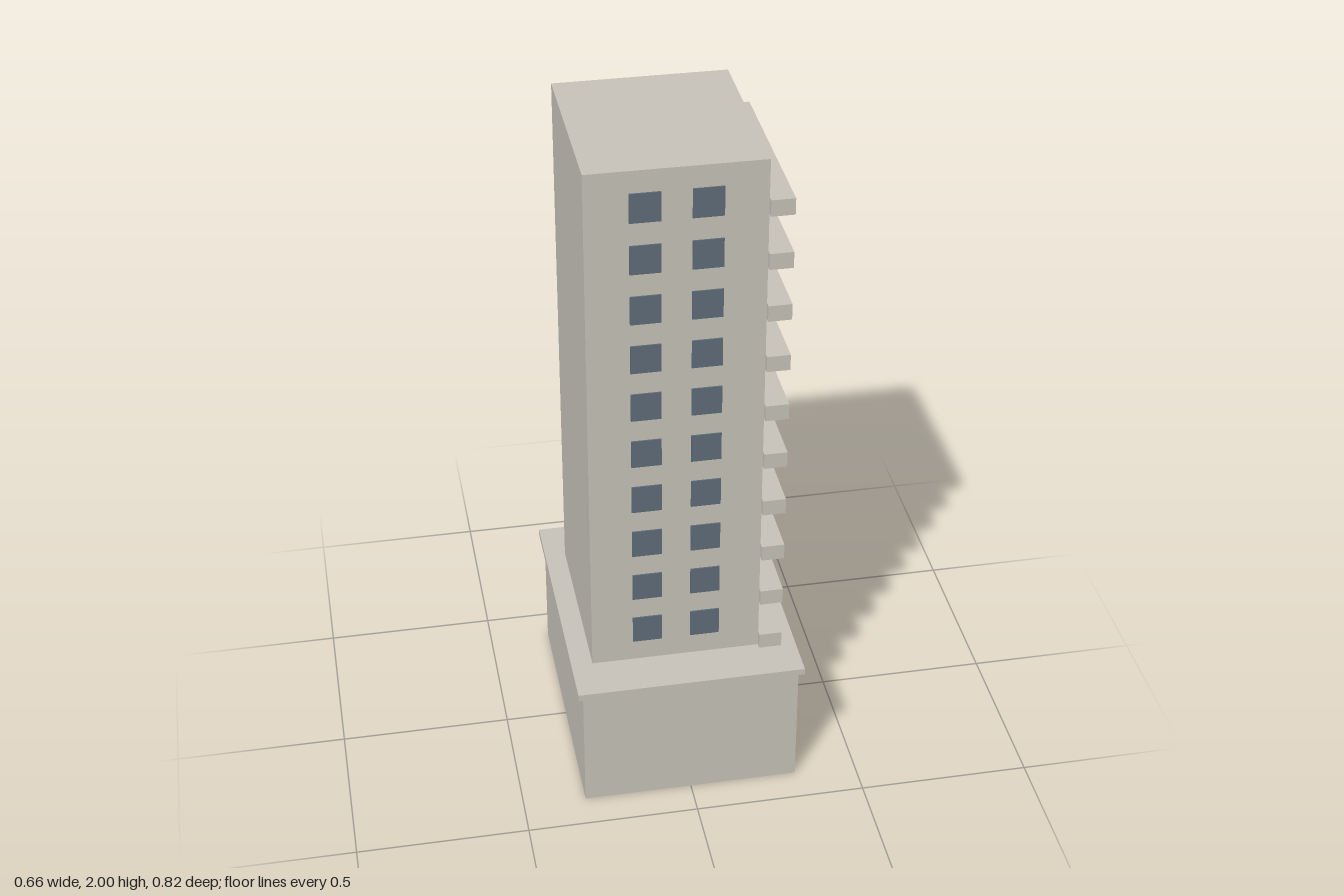
import * as THREE from 'three';

export function createModel() {
  const root = new THREE.Group();
  root.name = 'towerBlock';

  const concrete = new THREE.MeshStandardMaterial({ color: 0xc8c4bb });
  concrete.name = 'warm grey concrete';
  const glass = new THREE.MeshStandardMaterial({ color: 0x616d7a });
  glass.name = 'blue grey glass';

  // Box given by its lower and upper limits on each axis
  const box = (name, material, [x0, x1], [y0, y1], [z0, z1]) => {
    const mesh = new THREE.Mesh(new THREE.BoxGeometry(x1 - x0, y1 - y0, z1 - z0), material);
    mesh.position.set((x0 + x1) / 2, (y0 + y1) / 2, (z0 + z1) / 2);
    mesh.name = name;
    root.add(mesh);
  };

  // Podium, its overhanging roof slab and the tower
  box('podium', concrete, [-0.317, 0.317], [0, 0.388], [-0.396, 0.396]);
  box('podiumRoof', concrete, [-0.332, 0.332], [0.388, 0.408], [-0.41, 0.41]);
  box('tower', concrete, [-0.27, 0.222], [0.408, 2], [-0.273, 0.273]);

  // Podium glazing: three bays, tall panes below and short panes above
  for (const z of [-0.246, 0, 0.246]) {
    for (const y of [[0.03, 0.2], [0.242, 0.347]]) {
      box('podiumWindow', glass, [0.315, 0.322], y, [z - 0.097, z + 0.097]);
    }
  }

  for (let floor = 0; floor < 10; floor++) {
    // Balcony and the glass band above it
    const y = 0.408 + floor * 0.1592;
    box('balcony', concrete, [0.222, 0.288], [y, y + 0.048], [-0.29, 0.29]);
    box('windowBand', glass, [0.22, 0.227], [y + 0.03, y + 0.135], [-0.242, 0.242]);

    // Pairs of small windows on the front and back
    const wy = 0.474 + floor * 0.1528;
    for (const x of [-0.15, 0.018]) {
      for (const z of [[0.27, 0.277], [-0.277, -0.27]]) {
        box('smallWindow', glass, [x, x + 0.085], [wy, wy + 0.086], z);
      }
    }
  }
  return root;
}
